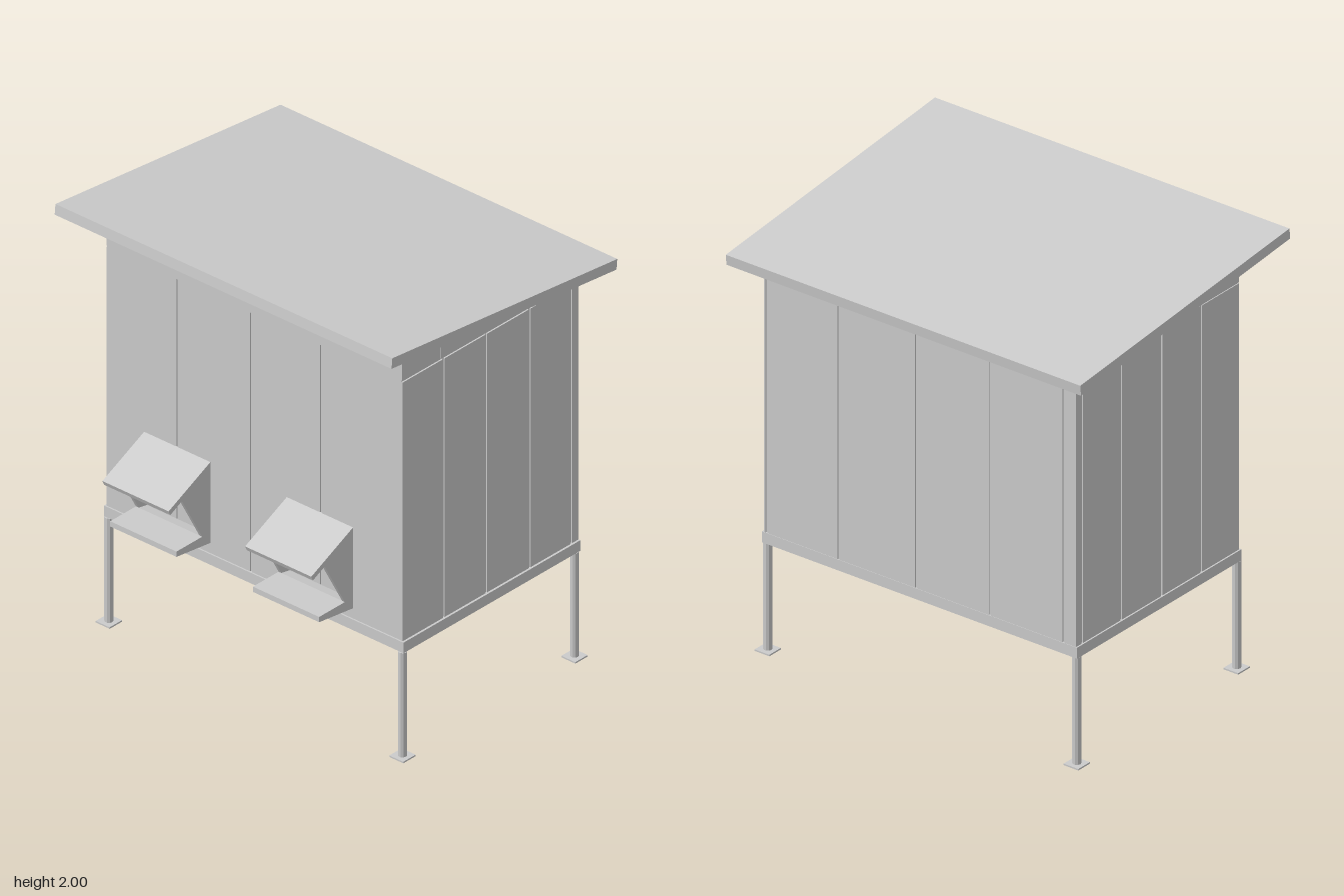
import * as THREE from 'three';

const material = new THREE.MeshStandardMaterial({ color: 0xcccccc, flatShading: true });

export function createModel() {
  const model = new THREE.Group();
  model.name = 'coop';

  const add = (name, geometry, parent = model) => {
    const mesh = new THREE.Mesh(geometry, material);
    mesh.name = name;
    parent.add(mesh);
    return mesh;
  };
  // Box given by its lower and upper limits on each axis
  const box = (name, x0, x1, y0, y1, z0, z1, parent) => {
    const mesh = add(name, new THREE.BoxGeometry(x1 - x0, y1 - y0, z1 - z0), parent);
    mesh.position.set((x0 + x1) / 2, (y0 + y1) / 2, (z0 + z1) / 2);
    return mesh;
  };
  // Outline in x and y, drawn out from z0 to z1
  const slab = (name, points, z0, z1, parent) => {
    const shape = new THREE.Shape(points.map(([x, y]) => new THREE.Vector2(x, y)));
    const geometry = new THREE.ExtrudeGeometry(shape, { depth: z1 - z0, bevelEnabled: false });
    return add(name, geometry.translate(0, 0, z0), parent);
  };

  // Floor and wall core
  const bottom = 0.55, top = 1.775, gap = 0.005, skin = 0.006;
  const x0 = -0.48, x1 = 0.593, z0 = -0.785, z1 = 0.825;
  box('floor', -0.487, 0.595, 0.5, bottom, -0.792, 0.835);
  box('wallCore', x0 + skin, x1 - skin, bottom, top, z0 + skin, z1 - skin);

  // Cladding panels separated by narrow grooves
  const spans = (edges, build) => {
    for (let i = 0; i < edges.length - 1; i++) {
      build(edges[i] + (i ? gap : 0), edges[i + 1] - (i < edges.length - 2 ? gap : 0));
    }
  };
  const endEdges = [x0, -0.23, 0.03, 0.295, 0.55, x1];
  spans(endEdges, (a, b) => {
    box('frontPanel', a, b, bottom, top, z1 - skin, z1);
    box('backPanel', a, b, bottom, top, z0, z0 + skin);
  });
  spans([z0, -0.72, -0.34, 0.04, 0.44, 0.812, z1], (a, b) =>
    box('rightPanel', x1 - skin, x1, bottom, top, a, b));
  spans([z0, -0.4, 0, 0.38, z1], (a, b) =>
    box('leftPanel', x0, x0 + skin, bottom, top, a, b));

  // Wedge-shaped upper walls below the sloping roof
  const under = x => 1.952 - 0.1065 * (x + 0.65);
  spans([x0, -0.25, 0.295, 0.548], (a, b) =>
    slab('gable', [[a, 1.782], [b, 1.782], [b, under(b)], [a, under(a)]], z0, z1 - 0.003));
  slab('gableCore', [[x0, top], [0.54, top], [0.54, under(0.54)], [x0, under(x0)]], z0 + 0.004, z1 - 0.007);
  for (const z of [0.69, -0.625]) {
    box('hinge', 0.54, 0.575, 1.775, 1.79, z - 0.033, z + 0.033);
  }

  // Sloping roof with a wide overhang
  slab('roof', [[-0.65, 1.952], [0.725, 1.805], [0.73, 1.853], [-0.645, 2]], -0.915, 0.915);

  // Legs on square foot plates
  for (const x of [-0.476, 0.575]) {
    for (const z of [-0.775, 0.82]) {
      const leg = add('leg', new THREE.CylinderGeometry(0.019, 0.019, 0.5, 10));
      leg.position.set(x, 0.25, z);
      box('footPlate', x - 0.038, x + 0.038, 0, 0.007, z - 0.038, z + 0.038);
    }
  }

  // Two sheltered entrances, each with a visor, two cheeks and a landing board
  for (const z of [-0.4, 0.375]) {
    const entrance = new THREE.Group();
    entrance.name = 'entrance';
    entrance.position.z = z;
    model.add(entrance);
    const half = 0.18, t = 0.015;
    slab('visor', [[-0.478, 0.982], [-0.735, 0.862], [-0.725, 0.84], [-0.478, 0.957]], -half, half, entrance);
    const cheek = [[-0.478, 0.96], [-0.655, 0.876], [-0.53, 0.65], [-0.53, 0.62], [-0.478, 0.61]];
    for (const [a, b] of [[-half, t - half], [half - t, half]]) slab('cheek', cheek, a, b, entrance);
    slab('landingBoard', [[-0.478, 0.598], [-0.478, 0.64], [-0.53, 0.65], [-0.687, 0.65], [-0.687, 0.625]],
      -half, half, entrance);
  }
  return model;
}
